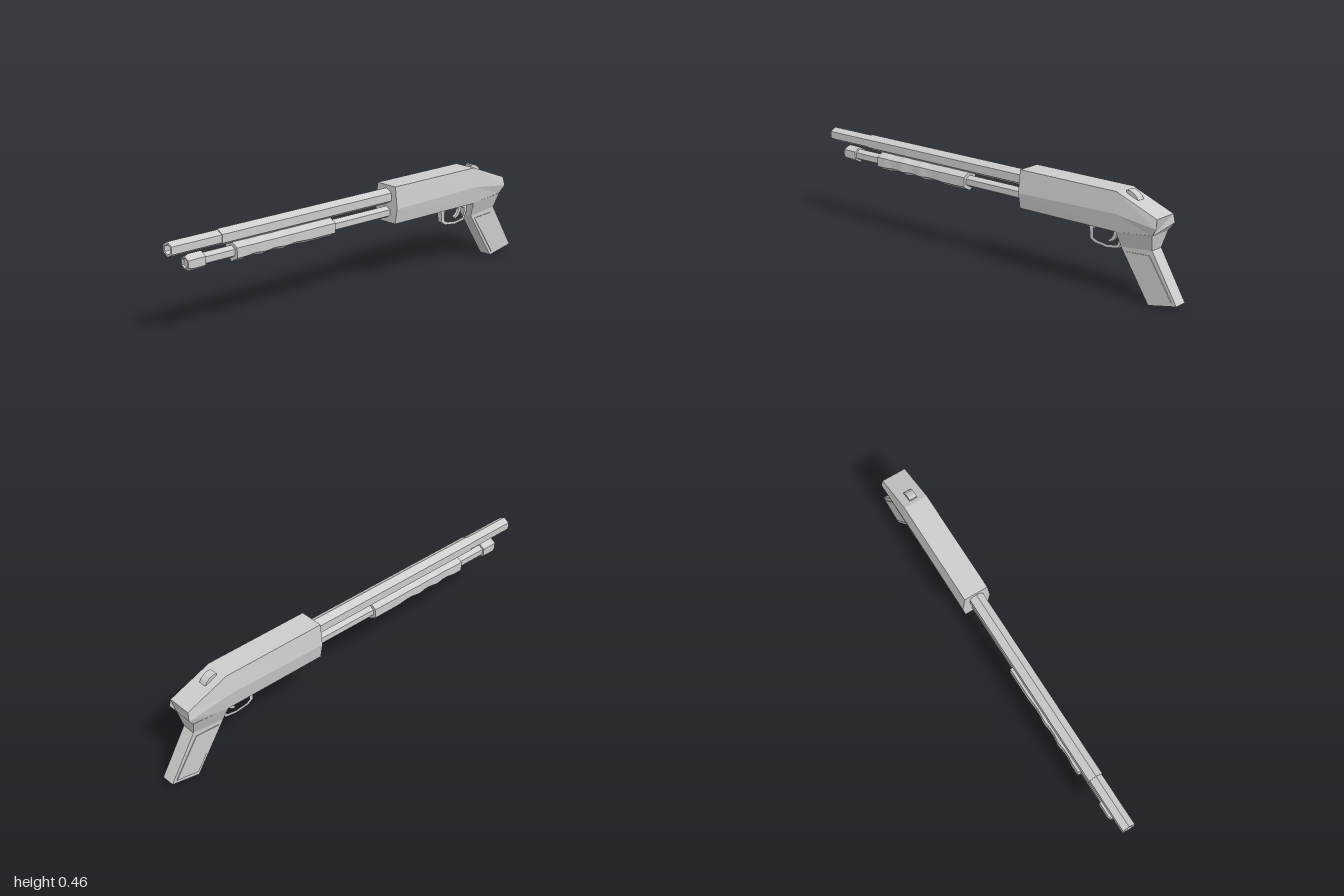
import * as THREE from 'three';

const grey = new THREE.MeshStandardMaterial({ color: 0xcccccc, flatShading: true });

// Closed solid from rings of [x, y, z], each counter-clockwise about the travel direction
function loft(rings) {
  const n = rings[0].length;
  const index = [];
  for (let i = 0; i < rings.length - 1; i++) {
    for (let j = 0; j < n; j++) {
      const k = (j + 1) % n;
      const a = i * n + j, b = i * n + k, c = b + n, d = a + n;
      index.push(a, b, c, a, c, d);
    }
  }
  const last = (rings.length - 1) * n;
  for (let j = 1; j < n - 1; j++) {
    index.push(0, j + 1, j, last, last + j, last + j + 1);
  }
  const g = new THREE.BufferGeometry();
  g.setAttribute('position', new THREE.Float32BufferAttribute(rings.flat(2), 3));
  g.setIndex(index);
  const flat = g.toNonIndexed();
  flat.computeVertexNormals();
  return flat;
}

// Six-sided turned part along z; profile is [radius, z] from back to front
function hexTurned(profile, y) {
  const pts = profile.map(([r, z]) => new THREE.Vector2(r, z));
  return new THREE.LatheGeometry(pts, 6).rotateX(Math.PI / 2).translate(0, y, 0);
}

// Side outline of [z, y] points extruded across x, centred
function sidePlate(outline, width, hole) {
  const toPts = (list) => list.map(([z, y]) => new THREE.Vector2(z, y));
  const shape = new THREE.Shape(toPts(outline));
  if (hole) shape.holes.push(new THREE.Path(toPts(hole)));
  return new THREE.ExtrudeGeometry(shape, { depth: width, bevelEnabled: false })
    .translate(0, 0, -width / 2)
    .rotateY(-Math.PI / 2);
}

export function createModel() {
  const model = new THREE.Group();
  const add = (name, geometry) => {
    const mesh = new THREE.Mesh(geometry, grey);
    mesh.name = name;
    model.add(mesh);
  };

  // Receiver: six-cornered section, sloping down at the rear
  const section = (bottom, mid, top) => [
    [bottom[0], bottom[1], bottom[2]], [mid[0], mid[1], mid[2]], [top[0], top[1], top[2]],
    [-top[0], top[1], top[2]], [-mid[0], mid[1], mid[2]], [-bottom[0], bottom[1], bottom[2]],
  ];
  add('receiver', loft([
    section([0.055, 0.31, -0.89], [0.066, 0.345, -0.915], [0.057, 0.385, -0.912]),
    section([0.057, 0.292, -0.71], [0.069, 0.372, -0.71], [0.057, 0.463, -0.71]),
    section([0.057, 0.292, -0.2], [0.069, 0.362, -0.2], [0.057, 0.463, -0.2]),
  ]));

  // Grip with a neck flaring into the receiver
  const level = (w, front, back) => [
    [w, front[1], front[0]], [w, back[1], back[0]],
    [-w, back[1], back[0]], [-w, front[1], front[0]],
  ];
  add('grip', loft([
    level(0.031, [-0.862, 0.003], [-1.0, 0.03]),
    level(0.032, [-0.72, 0.225], [-0.875, 0.24]),
    level(0.057, [-0.71, 0.293], [-0.89, 0.312]),
  ]));
  add('gripPanels', sidePlate(
    [[-0.867, 0.022], [-0.977, 0.042], [-0.863, 0.217], [-0.744, 0.21]], 0.07));

  // Barrel with a slimmer muzzle and a bore
  add('barrel', hexTurned([
    [0, -0.21], [0.037, -0.21], [0.037, 0.75], [0.033, 0.75],
    [0.033, 1], [0.022, 1], [0.022, 0.9], [0, 0.9],
  ], 0.412));

  // Magazine tube with its end cap
  add('magazineTube', hexTurned([[0, -0.21], [0.027, -0.21], [0.027, 0.85], [0, 0.85]], 0.338));
  add('magazineCap', hexTurned([
    [0, 0.835], [0.037, 0.835], [0.037, 0.9], [0.028, 0.918], [0.022, 0.918], [0.022, 0.908], [0, 0.908],
  ], 0.338));

  // Pump handle with scalloped grooves
  const pump = [[0.027, 0.14], [0.044, 0.14], [0.044, 0.28]];
  for (let i = 0; i < 3; i++) {
    const z = 0.355 + i * 0.113;
    pump.push([0.039, z - 0.015], [0.039, z + 0.015], [0.044, z + 0.05], [0.044, z + 0.063]);
  }
  pump.push([0.044, 0.68], [0.027, 0.68]);
  add('pumpHandle', hexTurned(pump, 0.338));

  // Trigger guard and trigger
  add('triggerGuard', sidePlate(
    [[-0.54, 0.295], [-0.545, 0.222], [-0.57, 0.206], [-0.635, 0.198], [-0.693, 0.207], [-0.712, 0.25], [-0.712, 0.295]],
    0.024,
    [[-0.562, 0.288], [-0.563, 0.228], [-0.58, 0.218], [-0.635, 0.211], [-0.685, 0.219], [-0.696, 0.25], [-0.696, 0.288]]));
  add('trigger', sidePlate(
    [[-0.662, 0.295], [-0.662, 0.26], [-0.652, 0.242], [-0.634, 0.229], [-0.64, 0.222], [-0.664, 0.233], [-0.678, 0.256], [-0.682, 0.295]],
    0.014));
  for (const [name, z] of [['frontGuardMount', -0.553], ['rearGuardMount', -0.696]]) {
    add(name, new THREE.BoxGeometry(0.026, 0.026, 0.026).translate(0, 0.281, z));
  }

  // Safety slide on the rear slope
  add('safetySlide', sidePlate(
    [[-0.73, 0.44], [-0.73, 0.466], [-0.745, 0.467], [-0.765, 0.46], [-0.782, 0.446], [-0.795, 0.425]], 0.038));

  return model;
}
